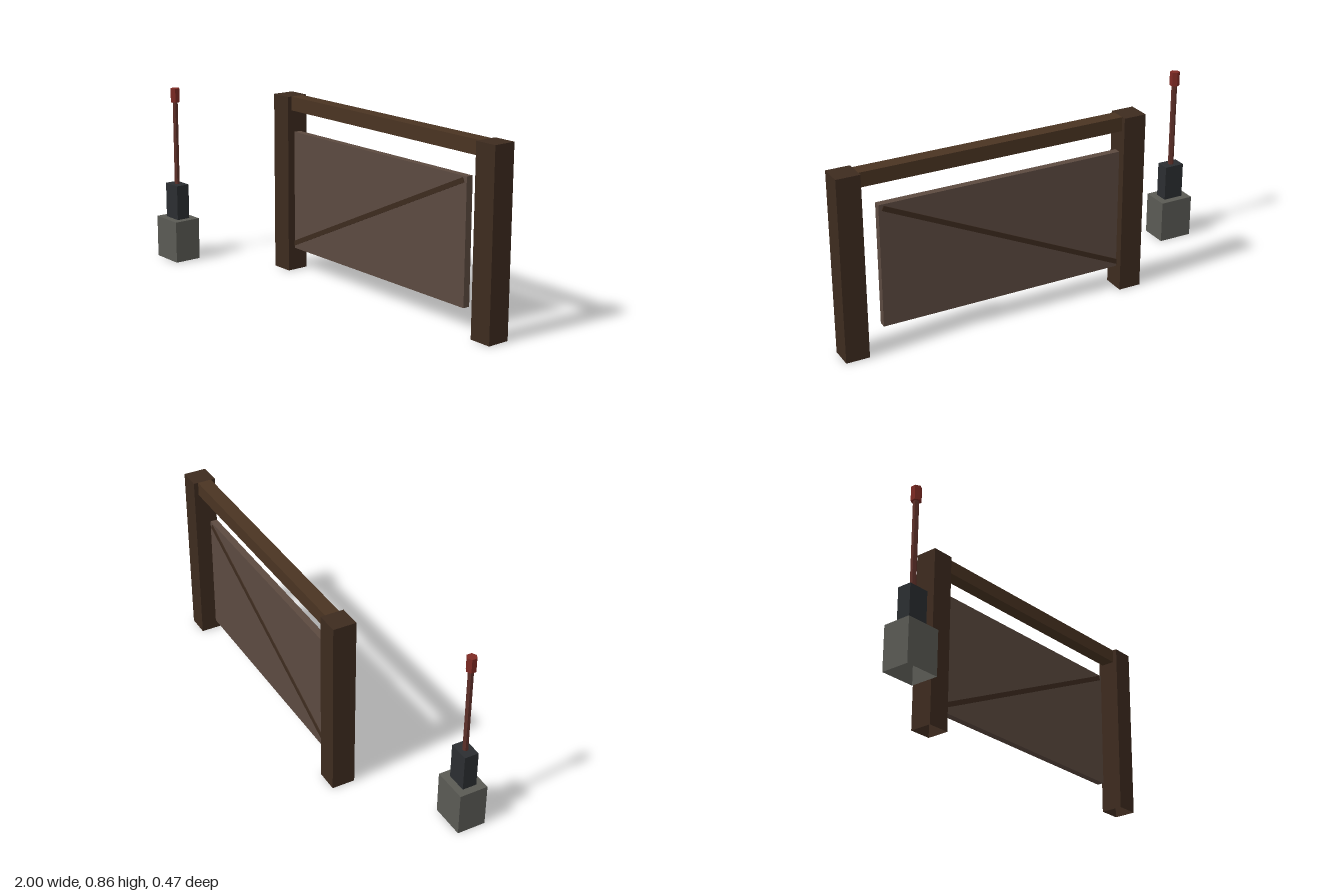
import * as THREE from 'three';

const paint = (color) => new THREE.MeshStandardMaterial({ color, flatShading: true, side: THREE.DoubleSide });

export function createModel() {
  const model = new THREE.Group();
  const postWood = paint(0x3d2b1f), beamWood = paint(0x4a3422), panelWood = paint(0x5c4a40);
  const stone = paint(0x5a5a54), iron = paint(0x2b2e31), rust = paint(0x5e3029), red = paint(0x7d2a24);

  function add(parent, name, geometry, material, x, y, z) {
    const mesh = new THREE.Mesh(geometry, material);
    mesh.name = name;
    mesh.position.set(x, y, z);
    parent.add(mesh);
    return mesh;
  }

  // Box without its underside, for parts standing on the ground
  function openBox(w, h, d) {
    const box = new THREE.BoxGeometry(w, h, d);
    const index = Array.from(box.index.array);
    index.splice(18, 6);
    box.setIndex(index);
    box.clearGroups();
    return box;
  }

  // Gate frame: two posts and a crossbeam
  const gate = new THREE.Group();
  gate.name = 'gate';
  gate.position.z = -0.178;
  model.add(gate);
  const height = 0.862;
  add(gate, 'rightPost', openBox(0.11, height, 0.11), postWood, -0.433, height / 2, 0);
  add(gate, 'leftPost', openBox(0.11, height, 0.11), postWood, 0.945, height / 2, 0);
  add(gate, 'crossbeam', new THREE.BoxGeometry(1.268, 0.067, 0.067), beamWood, 0.256, height - 0.0335, 0);

  // Gate leaf with a diagonal brace showing on both faces
  add(gate, 'gatePanel', new THREE.BoxGeometry(1.182, 0.58, 0.034), panelWood, 0.212, 0.399, 0);
  const start = new THREE.Vector2(-0.385, 0.13), end = new THREE.Vector2(0.785, 0.672);
  const run = end.clone().sub(start);
  const brace = add(gate, 'diagonalBrace', new THREE.BoxGeometry(run.length(), 0.023, 0.042), postWood,
    (start.x + end.x) / 2, (start.y + end.y) / 2, 0);
  brace.rotation.z = run.angle();

  // Lever on a stone plinth
  const lever = new THREE.Group();
  lever.name = 'lever';
  lever.position.set(-0.915, 0, 0.166);
  model.add(lever);
  add(lever, 'plinth', openBox(0.17, 0.207, 0.136), stone, 0, 0.1035, 0);
  add(lever, 'leverHousing', openBox(0.1, 0.173, 0.068), iron, 0, 0.2935, 0);
  add(lever, 'leverRod', new THREE.CylinderGeometry(0.0137, 0.0137, 0.42, 6), rust, 0, 0.588, 0);
  add(lever, 'leverGrip', new THREE.CylinderGeometry(0.024, 0.024, 0.068, 6), red, 0, height - 0.034, 0);

  return model;
}
